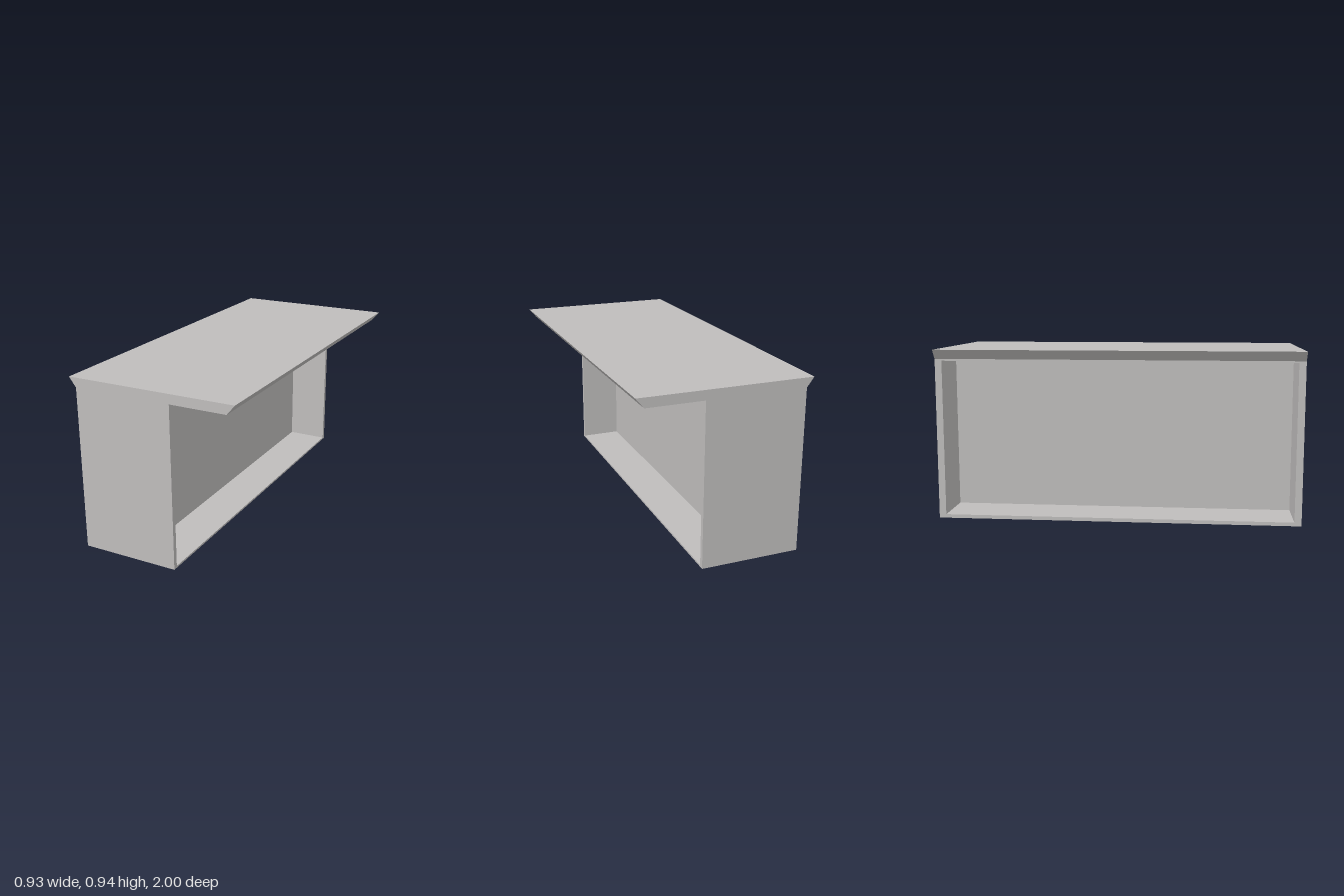
import * as THREE from 'three';

const H = 0.89; // height of the cabinet body
const WALL_L = -0.155, WALL_R = -0.122; // faces of the dividing panel

// Rectangle in (z, y)
function rect(target, halfZ, y0, y1) {
  target.moveTo(-halfZ, y0);
  target.lineTo(halfZ, y0);
  target.lineTo(halfZ, y1);
  target.lineTo(-halfZ, y1);
  target.closePath();
  return target;
}

// Open box frame running along x from x0 to x1
function frame(name, x0, x1, innerZ, innerY0, innerY1, material) {
  const shape = rect(new THREE.Shape(), 1, 0, H);
  shape.holes.push(rect(new THREE.Path(), innerZ, innerY0, innerY1));
  const geo = new THREE.ExtrudeGeometry(shape, { depth: x1 - x0, bevelEnabled: false });
  geo.rotateY(Math.PI / 2);
  geo.translate(x0, 0, 0);
  const mesh = new THREE.Mesh(geo, material);
  mesh.name = name;
  return mesh;
}

export function createModel() {
  const group = new THREE.Group();
  group.name = 'counter';
  const grey = new THREE.MeshStandardMaterial({ color: 0xbfbdbc });
  grey.name = 'warm grey';

  // Shelf recesses on both long sides
  group.add(frame('customerSideFrame', WALL_R, 0.115, 0.976, 0.01, 0.88, grey));
  group.add(frame('staffSideFrame', -0.427, WALL_L, 0.962, 0.02, 0.88, grey));

  // Panel dividing the two recesses
  const panel = new THREE.Mesh(new THREE.BoxGeometry(WALL_R - WALL_L, H, 2), grey);
  panel.position.set((WALL_L + WALL_R) / 2, H / 2, 0);
  panel.name = 'dividingPanel';
  group.add(panel);

  // Overhanging worktop with slanted long edges
  const profile = new THREE.Shape([
    new THREE.Vector2(-0.427, H),
    new THREE.Vector2(0.423, H),
    new THREE.Vector2(0.466, 0.942),
    new THREE.Vector2(-0.466, 0.942),
  ]);
  const topGeo = new THREE.ExtrudeGeometry(profile, { depth: 2, bevelEnabled: false });
  topGeo.translate(0, 0, -1);
  const top = new THREE.Mesh(topGeo, grey);
  top.name = 'worktop';
  group.add(top);

  return group;
}
